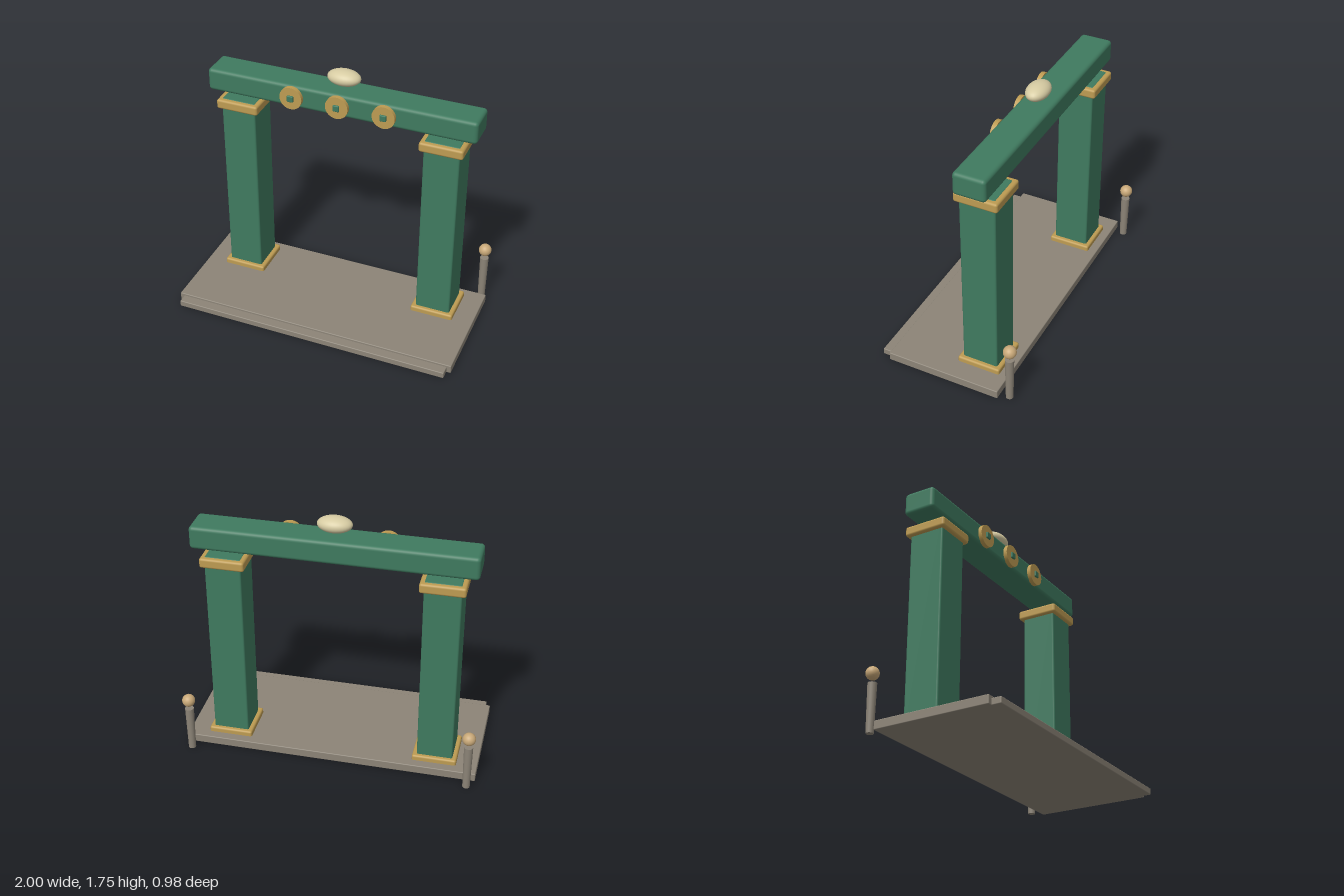
import * as THREE from 'three';
import { RoundedBoxGeometry } from 'three/addons/geometries/RoundedBoxGeometry.js';

const material = (color) => new THREE.MeshStandardMaterial({ color });

export function createModel() {
  const model = new THREE.Group();
  const green = material(0x3f7a5f);
  const gold = material(0xbd9b52);
  const stone = material(0x8c8477);
  const tan = material(0xc8a878);
  const ivory = material(0xd6cba2);

  const add = (name, geometry, mat, x, y, z) => {
    const mesh = new THREE.Mesh(geometry, mat);
    mesh.name = name;
    mesh.position.set(x, y, z);
    model.add(mesh);
    return mesh;
  };
  // Rounded box given by its bottom and top heights
  const block = (name, mat, x, z, w, d, y0, y1, r) =>
    add(name, new RoundedBoxGeometry(w, y1 - y0, d, 3, r), mat, x, (y0 + y1) / 2, z);

  // Platform and front step
  block('platform', stone, 0, 0.02, 2, 0.8, 0.005, 0.065, 0.006);
  block('frontStep', stone, 0, 0.43, 1.94, 0.11, 0.005, 0.05, 0.006);

  const gateZ = -0.17;
  for (const [side, s] of [['left', 1], ['right', -1]]) {
    // Square column with gold base and capital collars
    block(side + 'Column', green, s * 0.71, gateZ, 0.242, 0.246, 0.012, 1.433, 0.012);
    block(side + 'ColumnBase', gold, s * 0.71, gateZ, 0.3, 0.3, 0.012, 0.102, 0.014);
    block(side + 'Capital', gold, s * 0.71, gateZ, 0.296, 0.298, 1.362, 1.43, 0.016);

    // Tapered lamp post with a floating globe
    add(side + 'LampPost', new THREE.CylinderGeometry(0.03, 0.025, 0.325, 20), stone, s * 0.95, 0.1725, -0.445);
    add(side + 'LampGlobe', new THREE.SphereGeometry(0.044, 24, 16), tan, s * 0.95, 0.4, -0.447);
  }

  // Crossbeam
  block('crossbeam', green, 0, gateZ, 1.86, 0.222, 1.471, 1.628, 0.025);

  // Medallions on the beam's front
  for (const x of [-0.32, 0, 0.32]) {
    add('medallion', new THREE.CylinderGeometry(0.078, 0.078, 0.03, 32), gold, x, 1.548, -0.047).rotation.x = Math.PI / 2;
    block('medallionHub', green, x, -0.04, 0.044, 0.04, 1.526, 1.57, 0.006);
  }

  // Floating ornament above the beam
  add('topOrnament', new THREE.SphereGeometry(1, 32, 20), ivory, 0, 1.703, gateZ).scale.set(0.114, 0.053, 0.075);

  return model;
}
